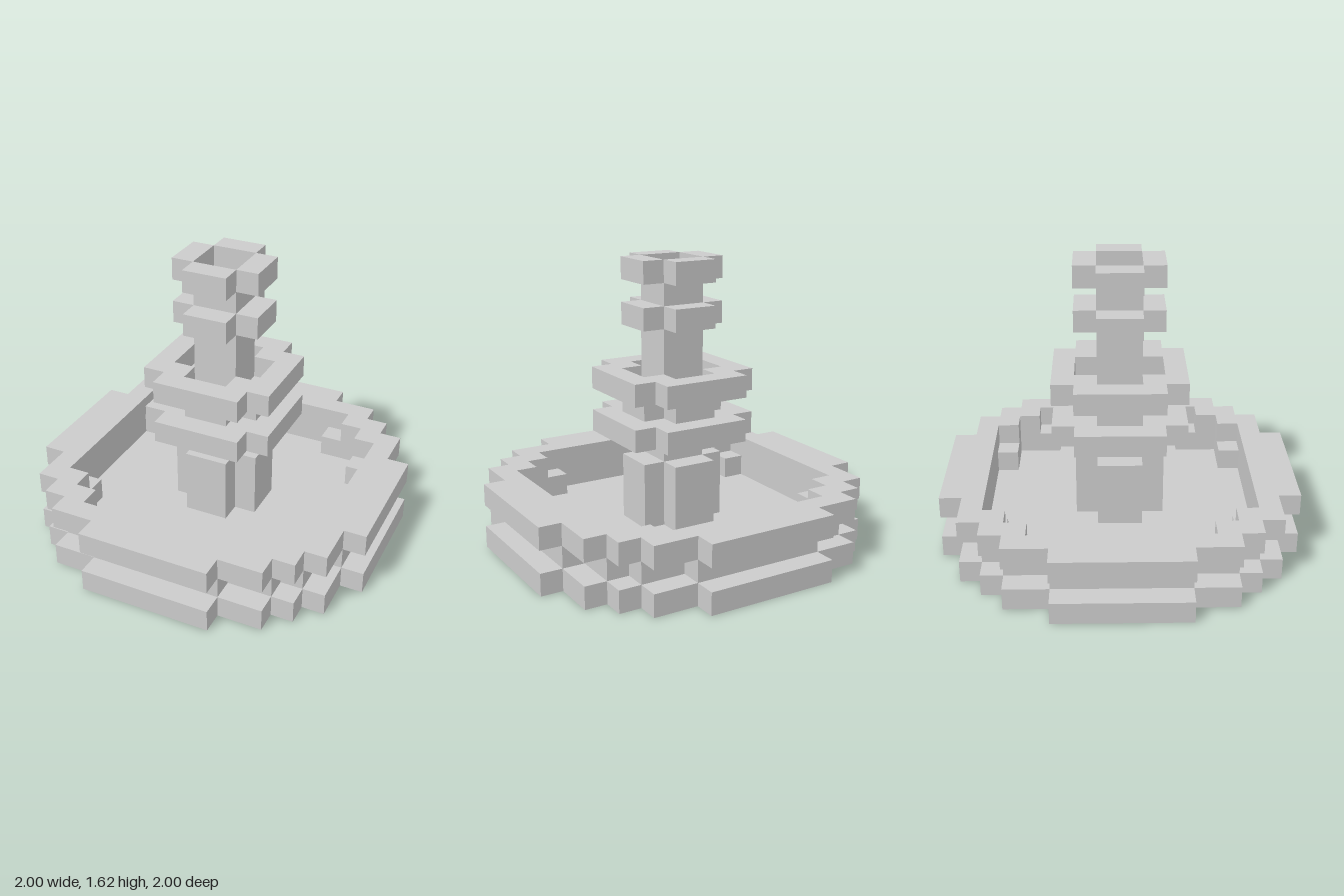
import * as THREE from 'three';

const U = 0.125; // one block; all sizes below are counted in blocks

const stone = new THREE.MeshStandardMaterial({ color: 0xcccccc, flatShading: true });

// Full stepped outline from the corners of its first quadrant, mirrored in both axes
function outline(quarter) {
  const mirror = (sx, sy) => quarter.map(([x, y]) => new THREE.Vector2(x * sx * U, y * sy * U));
  return [
    ...mirror(1, 1),
    ...mirror(-1, 1).reverse(),
    ...mirror(-1, -1),
    ...mirror(1, -1).reverse(),
  ];
}

// Horizontal slab with a stepped outline and an optional stepped hole
function slab(name, y, height, quarter, hole) {
  const shape = new THREE.Shape(outline(quarter));
  if (hole) shape.holes.push(new THREE.Path(outline(hole)));
  const geometry = new THREE.ExtrudeGeometry(shape, { depth: height * U, bevelEnabled: false });
  geometry.rotateX(-Math.PI / 2);
  const mesh = new THREE.Mesh(geometry, stone);
  mesh.name = name;
  mesh.position.y = y * U;
  return mesh;
}

// Box given by its x and z ranges, repeated on all four sides
function fourSides(name, y, height, boxes) {
  const group = new THREE.Group();
  group.name = name;
  for (let side = 0; side < 4; side++) {
    for (const [x0, x1, z0, z1] of boxes) {
      const geometry = new THREE.BoxGeometry((x1 - x0) * U, height * U, (z1 - z0) * U);
      geometry.translate(((x0 + x1) / 2) * U, (y + height / 2) * U, ((z0 + z1) / 2) * U);
      geometry.rotateY((side * Math.PI) / 2);
      const mesh = new THREE.Mesh(geometry, stone);
      mesh.name = name + 'Block';
      group.add(mesh);
    }
  }
  return group;
}

export function createModel() {
  const model = new THREE.Group();
  model.name = 'fountain';

  const disc = [[8, 3], [7, 3], [7, 5], [6, 5], [6, 6], [5, 6], [5, 7], [3, 7], [3, 8]];
  const pool = [[6, 4], [5, 4], [5, 5], [4, 5], [4, 6]];
  const plate = [[3, 2], [2, 2], [2, 3]];
  const cross = [[2, 1], [1, 1], [1, 2]];
  const square = [[1, 1]];

  // Basin: floor, recessed wall and overhanging rim
  model.add(slab('basinFloor', 0, 1, disc));
  model.add(fourSides('basinWall', 1, 1, [[-3, 3, 6, 7], [3, 5, 5, 6], [-5, -3, 5, 6]]));
  model.add(slab('basinRim', 2, 1, disc, pool));

  // Pedestal and lower column
  model.add(slab('pedestal', 1, 3, cross));
  model.add(slab('lowerColumn', 4, 1, square));

  // Middle bowl
  model.add(slab('bowlBase', 5, 1, plate));
  model.add(slab('bowlNeck', 6, 1, cross));
  model.add(slab('bowlRim', 7, 1, plate, cross));

  // Upper column with collar and open spout
  model.add(slab('upperColumn', 7, 5, square));
  model.add(fourSides('collar', 10, 1, [[-1, 1, 1, 2]]));
  model.add(fourSides('spout', 12, 1, [[-1, 1, 1, 2]]));

  return model;
}
